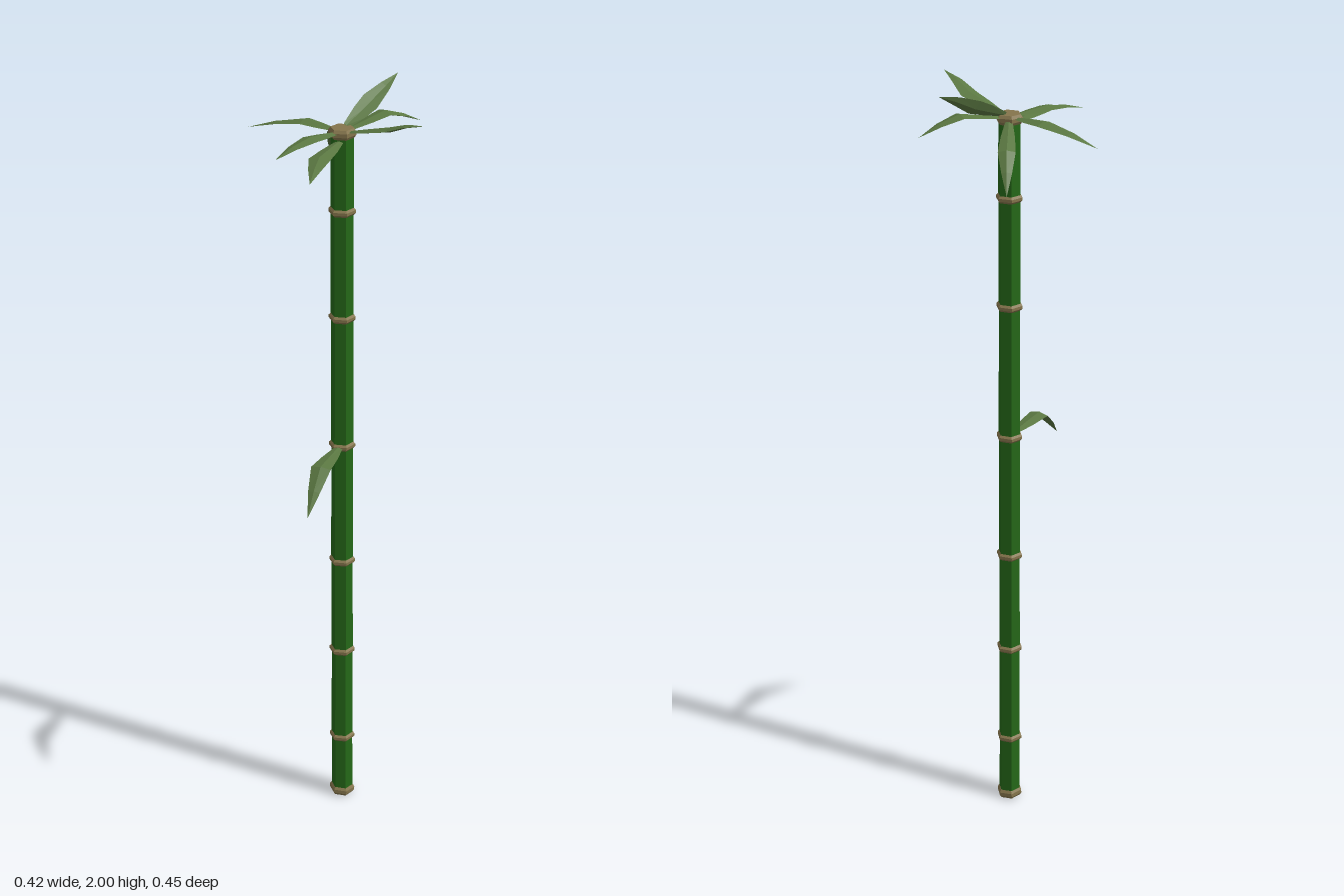
import * as THREE from 'three';

const CX = 0.003, CZ = -0.018, SIDES = 6, TURN = THREE.MathUtils.degToRad(13);

const paint = (color, extra = {}) =>
  new THREE.MeshStandardMaterial({ color, flatShading: true, ...extra });

// Pointed blade along base -> knee -> tip, with a thin diamond cross-section
function bladeGeometry(base, knee, tip, halfWidth, roll) {
  const [b, k, t] = [base, knee, tip].map((p) => new THREE.Vector3(...p));
  const along = t.clone().sub(b).normalize();
  const side = new THREE.Vector3().crossVectors(along, new THREE.Vector3(0, 1, 0)).normalize();
  side.applyAxisAngle(along, roll);
  const up = new THREE.Vector3().crossVectors(side, along).normalize();
  const sections = [
    [b, 0.35, 0.003],
    [b.clone().lerp(k, 0.55), 0.8, 0.005],
    [k, 1, 0.006],
    [k.clone().lerp(t, 0.5).addScaledVector(up, 0.004), 0.6, 0.004],
    [t, 0, 0],
  ];
  const pos = [], index = [];
  for (const [c, w, h] of sections) {
    for (const [s, u] of [[1, 0], [0, 1], [-1, 0], [0, -1]]) {
      const p = c.clone().addScaledVector(side, s * w * halfWidth).addScaledVector(up, u * h);
      pos.push(p.x, p.y, p.z);
    }
  }
  for (let i = 0; i < sections.length - 1; i++) {
    for (let j = 0; j < 4; j++) {
      const a = i * 4 + j, d = i * 4 + ((j + 1) % 4);
      index.push(a, d, a + 4);
      if (i < sections.length - 2) index.push(d, d + 4, a + 4);
    }
  }
  const g = new THREE.BufferGeometry();
  g.setAttribute('position', new THREE.Float32BufferAttribute(pos, 3));
  g.setIndex(index);
  g.computeVertexNormals();
  return g;
}

export function createModel() {
  const model = new THREE.Group();
  const green = paint(0x256818);
  const brown = paint(0x85754c);
  const leafGreen = paint(0x5b7842, { side: THREE.DoubleSide });

  const add = (name, geometry, material, x = 0, y = 0, z = 0) => {
    const mesh = new THREE.Mesh(geometry, material);
    mesh.name = name;
    mesh.position.set(x, y, z);
    model.add(mesh);
    return mesh;
  };

  // Stalk sections between the joints
  const joints = [0.014, 0.19, 0.465, 0.74, 1.077, 1.43, 1.71, 1.908];
  for (let i = 0; i < joints.length - 1; i++) {
    const h = joints[i + 1] - joints[i];
    add('stalkSection' + (i + 1),
      new THREE.CylinderGeometry(0.028, 0.029, h, SIDES, 1, false, TURN),
      green, CX, joints[i] + h / 2, CZ);
  }

  // Joint rings, bulging at mid-height
  joints.forEach((y, i) => {
    const end = i === 0 || i === joints.length - 1;
    const h = end ? 0.012 : 0.009;
    const profile = [[0, -h], [0.029, -h], [0.034, -h * 0.4], [0.034, h * 0.4], [0.029, h], [0, h]]
      .map(([r, v]) => new THREE.Vector2(r, v));
    const ring = add('jointRing' + (i + 1),
      new THREE.LatheGeometry(profile, SIDES, TURN), brown, CX, y, CZ);
    if (i === 0) ring.rotation.z = -0.06;
  });

  // Leaves: base height, knee, tip, half width, roll
  const leaves = [
    [1.91, [-0.08, 1.915, -0.088], [-0.21, 1.88, -0.162], 0.025, 0],
    [1.91, [0.002, 1.865, -0.15], [-0.002, 1.78, -0.225], 0.021, 0],
    [1.92, [0.08, 1.955, -0.095], [0.157, 2.0, -0.17], 0.023, 0.9],
    [1.91, [0.115, 1.93, -0.085], [0.21, 1.89, -0.132], 0.025, 0],
    [1.91, [0.105, 1.94, 0.07], [0.172, 1.975, 0.156], 0.025, 0],
    [1.91, [-0.08, 1.915, 0.045], [-0.17, 1.895, 0.122], 0.024, 0],
    [1.89, [-0.066, 1.89, 0.115], [-0.1, 1.87, 0.222], 0.026, 0],
    [1.077, [-0.066, 1.08, 0.115], [-0.11, 0.99, 0.207], 0.026, 0],
  ];
  leaves.forEach(([y, knee, tip, width, roll], i) => {
    const out = new THREE.Vector2(tip[0] - CX, tip[2] - CZ).normalize().multiplyScalar(0.015);
    const base = [CX + out.x, y, CZ + out.y];
    add(i === 7 ? 'sideLeaf' : 'crownLeaf' + (i + 1),
      bladeGeometry(base, knee, tip, width, roll), leafGreen);
  });
  return model;
}
